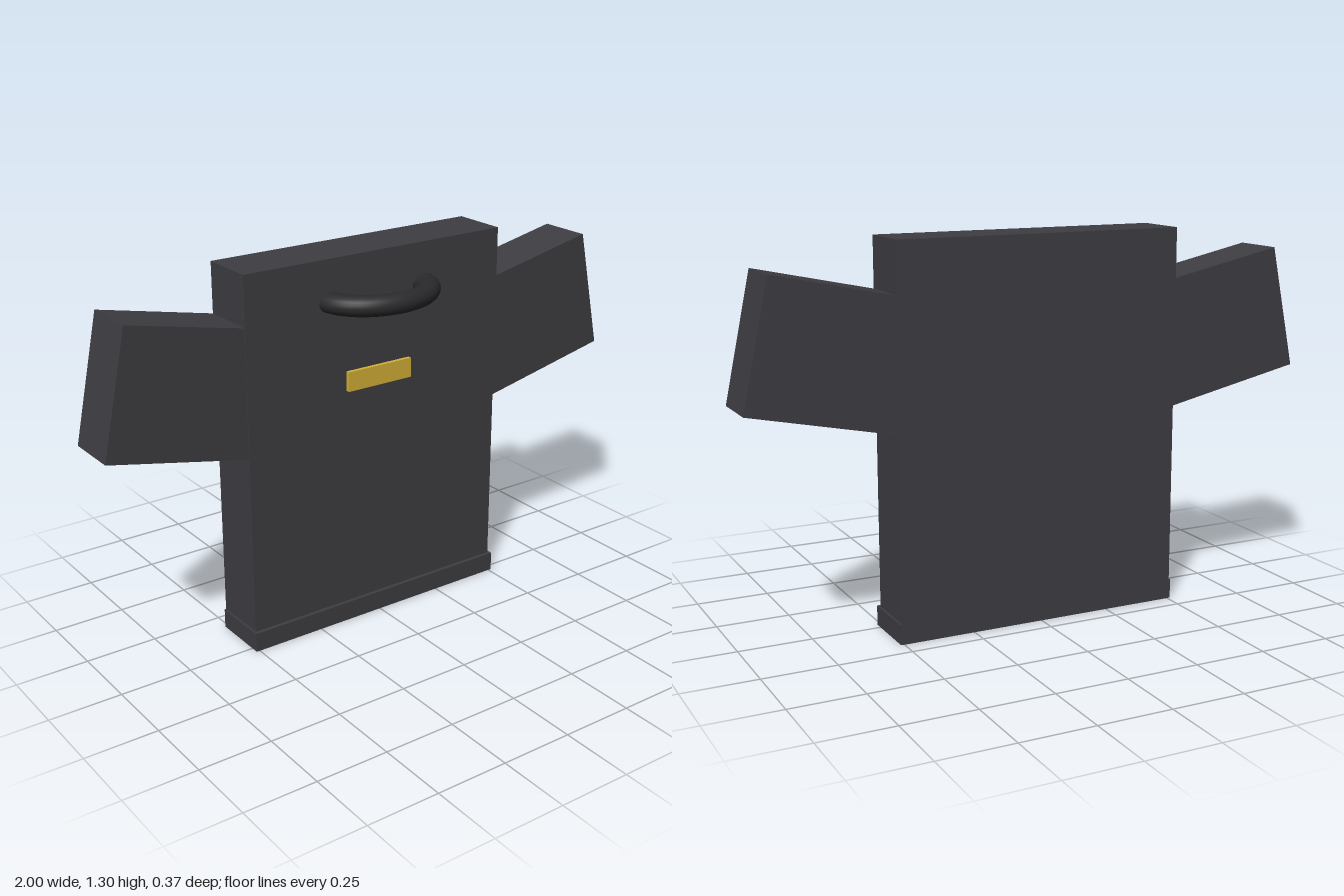
import * as THREE from 'three';

const fabric = new THREE.MeshStandardMaterial({ color: 0x3e3d42 });
const trim = new THREE.MeshStandardMaterial({ color: 0x2a2a2c });
const gold = new THREE.MeshStandardMaterial({ color: 0xd4af37 });

export function createModel() {
  const model = new THREE.Group();
  model.name = 'shirt';

  const add = (name, geometry, material, x, y, z) => {
    const mesh = new THREE.Mesh(geometry, material);
    mesh.name = name;
    mesh.position.set(x, y, z);
    model.add(mesh);
    return mesh;
  };
  const box = (name, material, w, h, d, x, y, z) =>
    add(name, new THREE.BoxGeometry(w, h, d), material, x, y, z);

  // Torso slab and the slightly wider hem band
  box('torso', fabric, 1.01, 1.305, 0.197, 0, 0.6525, -0.0845);
  box('hem', fabric, 1.024, 0.068, 0.209, 0, 0.034, -0.0765);

  // Sleeves: raised 12 degrees, inner ends buried in the torso
  const tilt = THREE.MathUtils.degToRad(12);
  const length = 0.6;
  for (const side of [1, -1]) {
    const x = side * (0.955 - Math.cos(tilt) * length / 2);
    const y = 1.01 - Math.sin(tilt) * length / 2;
    const sleeve = box(side > 0 ? 'leftSleeve' : 'rightSleeve', fabric,
      length, 0.43, 0.19, x, y, -0.085);
    sleeve.rotation.z = side * tilt;
  }

  // Collar: half ring standing out from the chest
  const ring = new THREE.TorusGeometry(0.15, 0.035, 20, 48, Math.PI);
  ring.rotateX(Math.PI / 2).scale(1.25, 1, 1);
  add('collar', ring, trim, 0, 1.162, -0.002);

  // Chest badge
  box('chestBadge', gold, 0.254, 0.068, 0.02, 0, 0.882, 0.018);

  return model;
}
